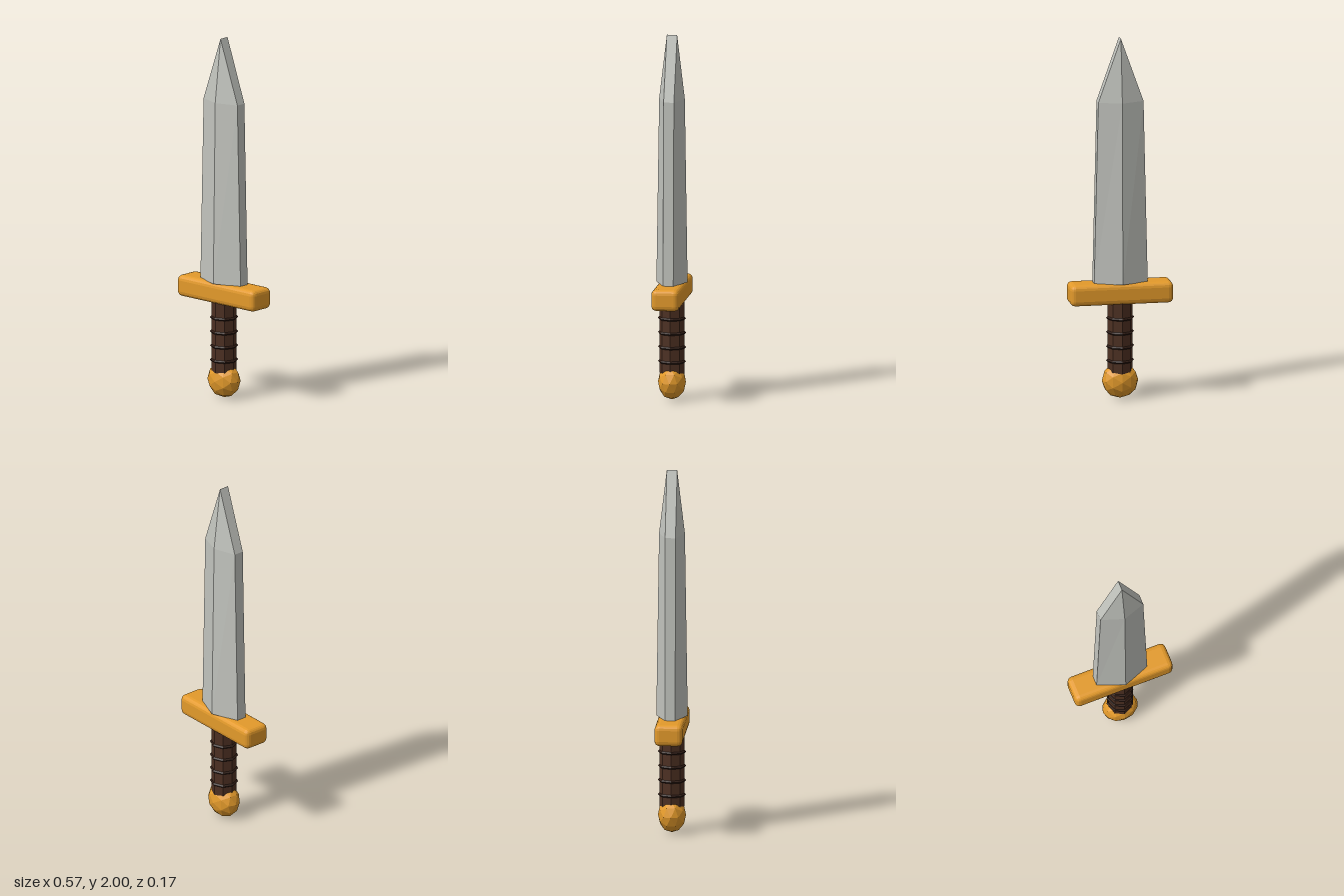
import * as THREE from 'three';
import { RoundedBoxGeometry } from 'three/addons/geometries/RoundedBoxGeometry.js';

const material = (color) => new THREE.MeshStandardMaterial({ color, flatShading: true });

// Hexagonal blade lofted through its cross-sections, closing to a flat tip edge
function bladeGeometry() {
  const sections = [
    { y: 0.645, x: 0.147, ridge: 0.085 },
    { y: 1.65, x: 0.124, ridge: 0.07 },
    { y: 2, x: 0, ridge: 0.028 },
  ];
  const edge = 0.028;
  const positions = [];
  const indices = [];
  for (const { y, x, ridge } of sections) {
    // counter-clockwise seen from above
    positions.push(x, y, edge, x, y, -edge, 0, y, -ridge, -x, y, -edge, -x, y, edge, 0, y, ridge);
  }
  for (let s = 0; s < sections.length - 1; s++) {
    for (let i = 0; i < 6; i++) {
      const a = s * 6 + i;
      const b = s * 6 + (i + 1) % 6;
      indices.push(a, b, b + 6, a, b + 6, a + 6);
    }
  }
  // underside
  for (let i = 1; i < 5; i++) indices.push(0, i + 1, i);
  const geometry = new THREE.BufferGeometry();
  geometry.setAttribute('position', new THREE.Float32BufferAttribute(positions, 3));
  geometry.setIndex(indices);
  const flat = geometry.toNonIndexed();
  flat.computeVertexNormals();
  return flat;
}

export function createModel() {
  const model = new THREE.Group();
  model.name = 'dagger';
  const steel = material(0xc2c4be);
  const gold = material(0xe39a2b);
  const leather = material(0x4d3022);
  const cord = material(0x2f1c14);

  const add = (name, geometry, mat, y = 0) => {
    const mesh = new THREE.Mesh(geometry, mat);
    mesh.name = name;
    mesh.position.y = y;
    model.add(mesh);
    return mesh;
  };

  add('blade', bladeGeometry(), steel);

  // Crossguard with softened edges
  add('crossguard', new RoundedBoxGeometry(0.566, 0.117, 0.152, 2, 0.028), gold, 0.588);

  // Octagonal grip with four cord rings
  add('grip', new THREE.CylinderGeometry(0.068, 0.068, 0.4, 8), leather, 0.345);
  const ring = new THREE.TorusGeometry(0.069, 0.008, 4, 8).rotateX(Math.PI / 2);
  for (let i = 0; i < 4; i++) add('gripRing', ring, cord, 0.21 + i * 0.079);

  // Faceted pommel, flattened front to back
  const pommel = add('pommel', new THREE.IcosahedronGeometry(1, 1), gold, 0.098);
  pommel.scale.set(0.1, 0.098, 0.076);

  return model;
}
